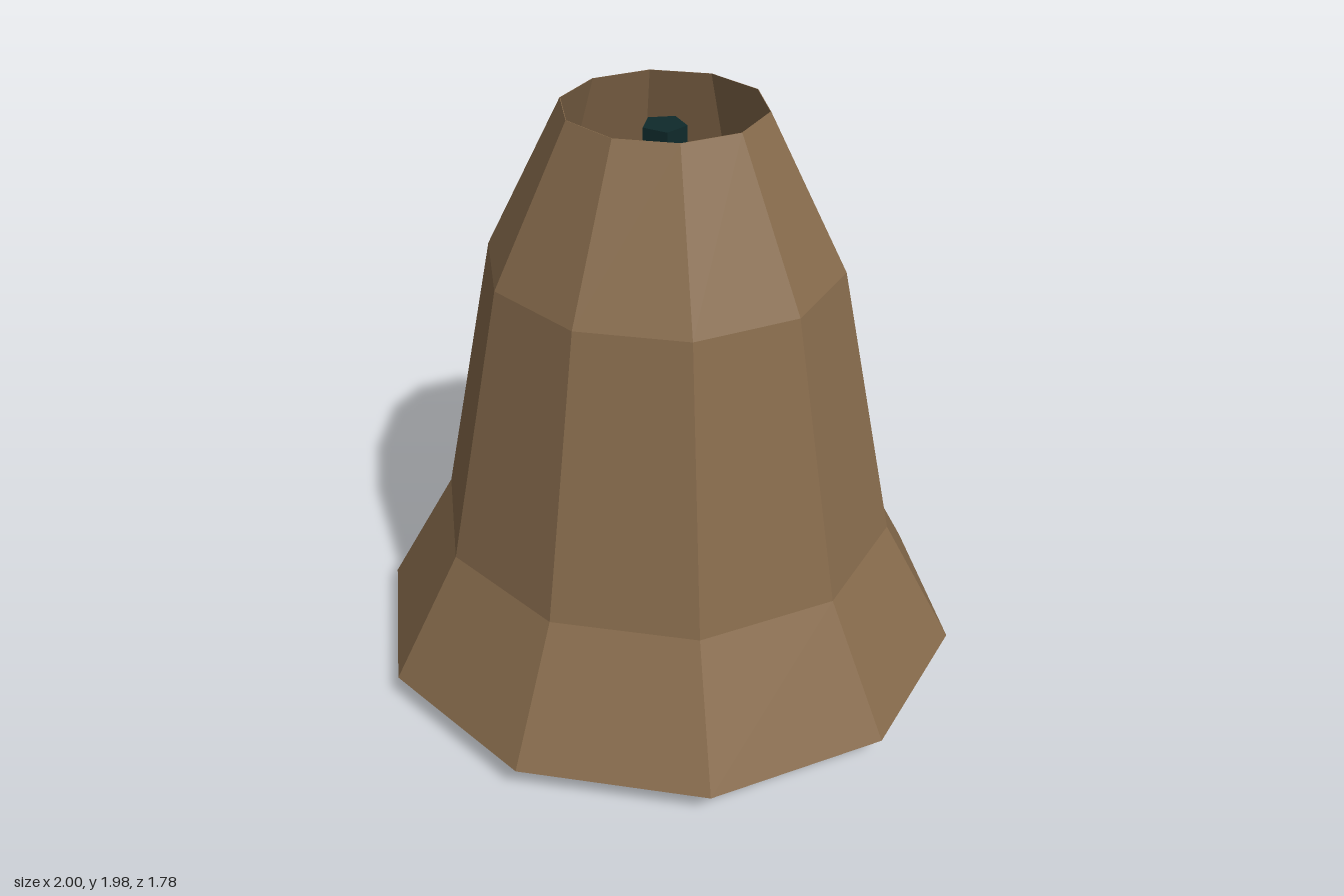
import * as THREE from 'three';

const SIDES = 10;
const DEPTH = 0.935;   // the bell is slightly shallower than wide
const GAP = 7;         // side with the broken-out panel, at the back
const LIFT = 0.15;     // how far the corner beside the gap is bent up

// Bell profile from lip to crown: height, outer radius, inner radius
const RINGS = [
  [0.10, 1.0, 0.85],
  [0.54, 0.76, 0.65],
  [1.48, 0.565, 0.49],
  [1.98, 0.315, 0.313],
];

function bellGeometry() {
  const pos = [];
  const point = (ring, i, inner) => {
    const k = i % SIDES;
    const a = (k / SIDES) * Math.PI * 2;
    const [y, ro, ri] = RINGS[ring];
    const r = inner ? ri : ro;
    const lift = k === GAP + 1 && ring < 2 ? LIFT : 0;
    return [r * Math.cos(a), y + lift, r * Math.sin(a) * DEPTH];
  };
  const quad = (a, b, c, d) => pos.push(...a, ...b, ...c, ...a, ...c, ...d);

  for (let i = 0; i < SIDES; i++) {
    const first = i === GAP ? 1 : 0;
    const j = i + 1;
    for (let r = first; r < RINGS.length - 1; r++) {
      // outer wall, then inner wall
      quad(point(r, j), point(r, i), point(r + 1, i), point(r + 1, j));
      quad(point(r, i, true), point(r, j, true), point(r + 1, j, true), point(r + 1, i, true));
    }
    // lip underneath, and the narrow crown edge
    quad(point(first, i), point(first, j), point(first, j, true), point(first, i, true));
    quad(point(3, i, true), point(3, j, true), point(3, j), point(3, i));
  }
  // broken edges on both sides of the gap
  const g = GAP, h = GAP + 1;
  quad(point(0, g), point(1, g), point(1, g, true), point(0, g, true));
  quad(point(0, h, true), point(1, h, true), point(1, h), point(0, h));

  const geo = new THREE.BufferGeometry();
  geo.setAttribute('position', new THREE.Float32BufferAttribute(pos, 3));
  geo.computeVertexNormals();
  return geo;
}

function material(name, color) {
  const m = new THREE.MeshStandardMaterial({ color, flatShading: true });
  m.name = name;
  return m;
}

export function createModel() {
  const group = new THREE.Group();
  group.name = 'brokenBell';
  const add = (name, geo, mat) => {
    const mesh = new THREE.Mesh(geo, mat);
    mesh.name = name;
    group.add(mesh);
    return mesh;
  };

  add('bellShell', bellGeometry(), material('bronze', 0x876b4c));

  // Rod hanging inside the bell
  const rod = add('clapperRod', new THREE.CylinderGeometry(0.07, 0.07, 1.52, 5), material('darkTeal', 0x0f2a2b));
  rod.rotation.y = Math.PI / 2;
  rod.position.y = 1.16;

  // Six-sided pointed weight at the end of the rod
  const weight = add('clapperWeight', new THREE.SphereGeometry(0.173, 6, 3), material('brass', 0xc9ad72));
  weight.scale.y = 0.222 / 0.173;
  weight.position.y = 0.222;

  return group;
}
